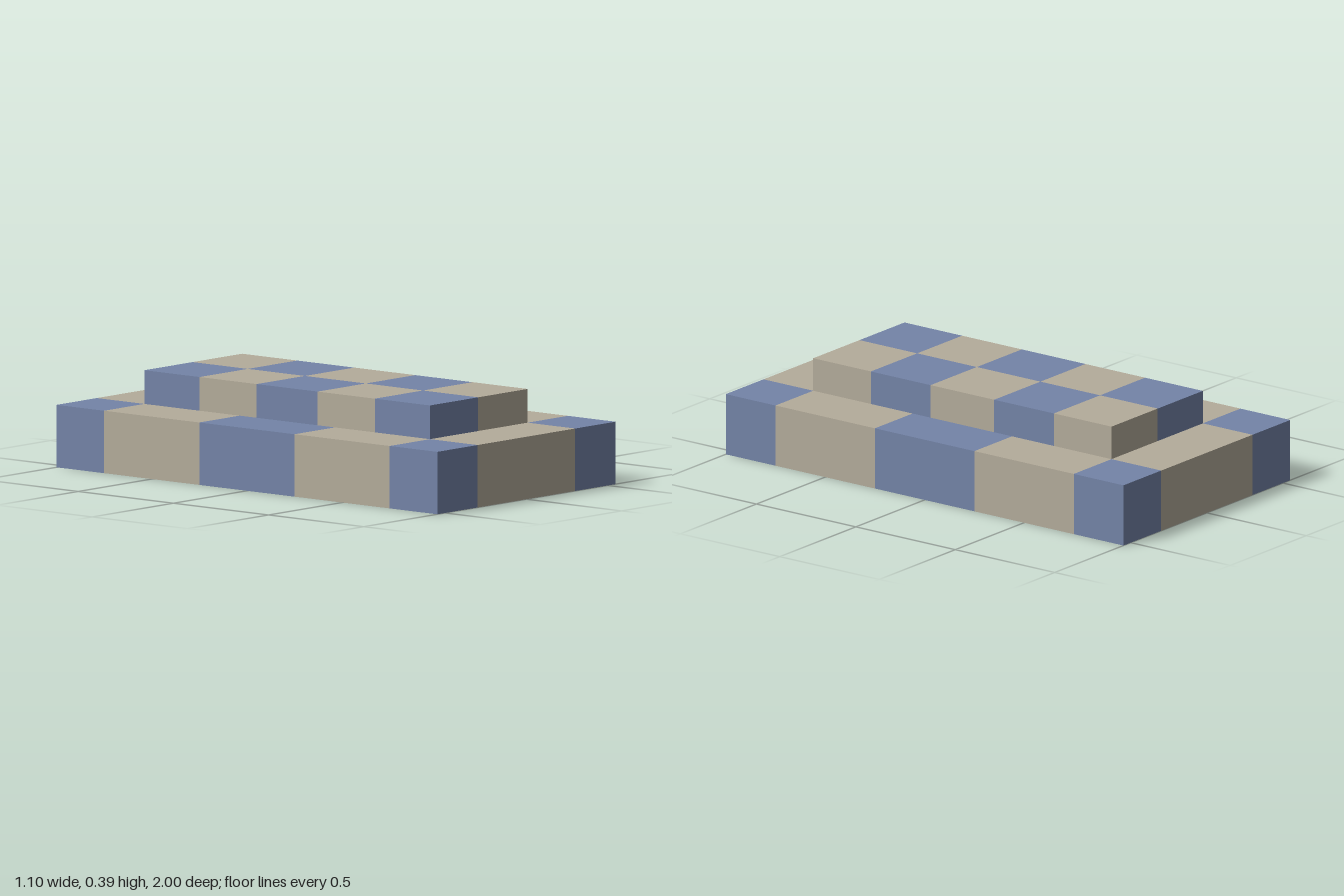
import * as THREE from 'three';
import { mergeGeometries } from 'three/addons/utils/BufferGeometryUtils.js';

// Flat panel turned by rx, ry and moved to its centre
function panel(w, h, rx, ry, x, y, z) {
  return new THREE.PlaneGeometry(w, h).rotateX(rx).rotateY(ry).translate(x, y, z);
}

// Open-bottomed tier: four walls and a top, divided into coloured cells
function makeTier(name, xs, zs, y0, y1, isBlue, isOpen, materials) {
  const panels = { blue: [], beige: [] };
  const nx = xs.length - 1, nz = zs.length - 1;
  const h = y1 - y0, ym = (y0 + y1) / 2;
  for (let i = 0; i < nx; i++) {
    for (let j = 0; j < nz; j++) {
      const list = isBlue(i, j) ? panels.blue : panels.beige;
      const w = xs[i + 1] - xs[i], d = zs[j + 1] - zs[j];
      const x = (xs[i] + xs[i + 1]) / 2, z = (zs[j] + zs[j + 1]) / 2;
      if (!isOpen(i, j)) list.push(panel(w, d, -Math.PI / 2, 0, x, y1, z));
      if (i === 0) list.push(panel(d, h, 0, -Math.PI / 2, xs[0], ym, z));
      if (i === nx - 1) list.push(panel(d, h, 0, Math.PI / 2, xs[nx], ym, z));
      if (j === 0) list.push(panel(w, h, 0, Math.PI, x, ym, zs[0]));
      if (j === nz - 1) list.push(panel(w, h, 0, 0, x, ym, zs[nz]));
    }
  }
  const tier = new THREE.Group();
  tier.name = name;
  for (const colour of ['blue', 'beige']) {
    const mesh = new THREE.Mesh(mergeGeometries(panels[colour]), materials[colour]);
    mesh.name = `${name} ${colour} panels`;
    tier.add(mesh);
  }
  return tier;
}

export function createModel() {
  const materials = {
    blue: new THREE.MeshStandardMaterial({ color: 0x7484a8, side: THREE.DoubleSide }),
    beige: new THREE.MeshStandardMaterial({ color: 0xb4ac9b, side: THREE.DoubleSide }),
  };
  materials.blue.name = 'slate blue';
  materials.beige.name = 'stone beige';

  const model = new THREE.Group();
  model.name = 'stepped block';

  // Wide lower tier, its ledge open under the upper tier
  model.add(makeTier('lower tier',
    [-0.548, -0.3, 0.3, 0.548], [-1, -0.75, -0.25, 0.25, 0.75, 1], 0, 0.252,
    (i, j) => i % 2 === 0 && j % 2 === 0,
    (i, j) => i === 1 && j > 0 && j < 4, materials));

  // Narrow chequered upper tier
  model.add(makeTier('upper tier',
    [-0.3, -0.004, 0.3], [-0.75, -0.46, -0.16, 0.16, 0.46, 0.75], 0.252, 0.388,
    (i, j) => (i + j) % 2 === 0,
    () => false, materials));

  return model;
}
